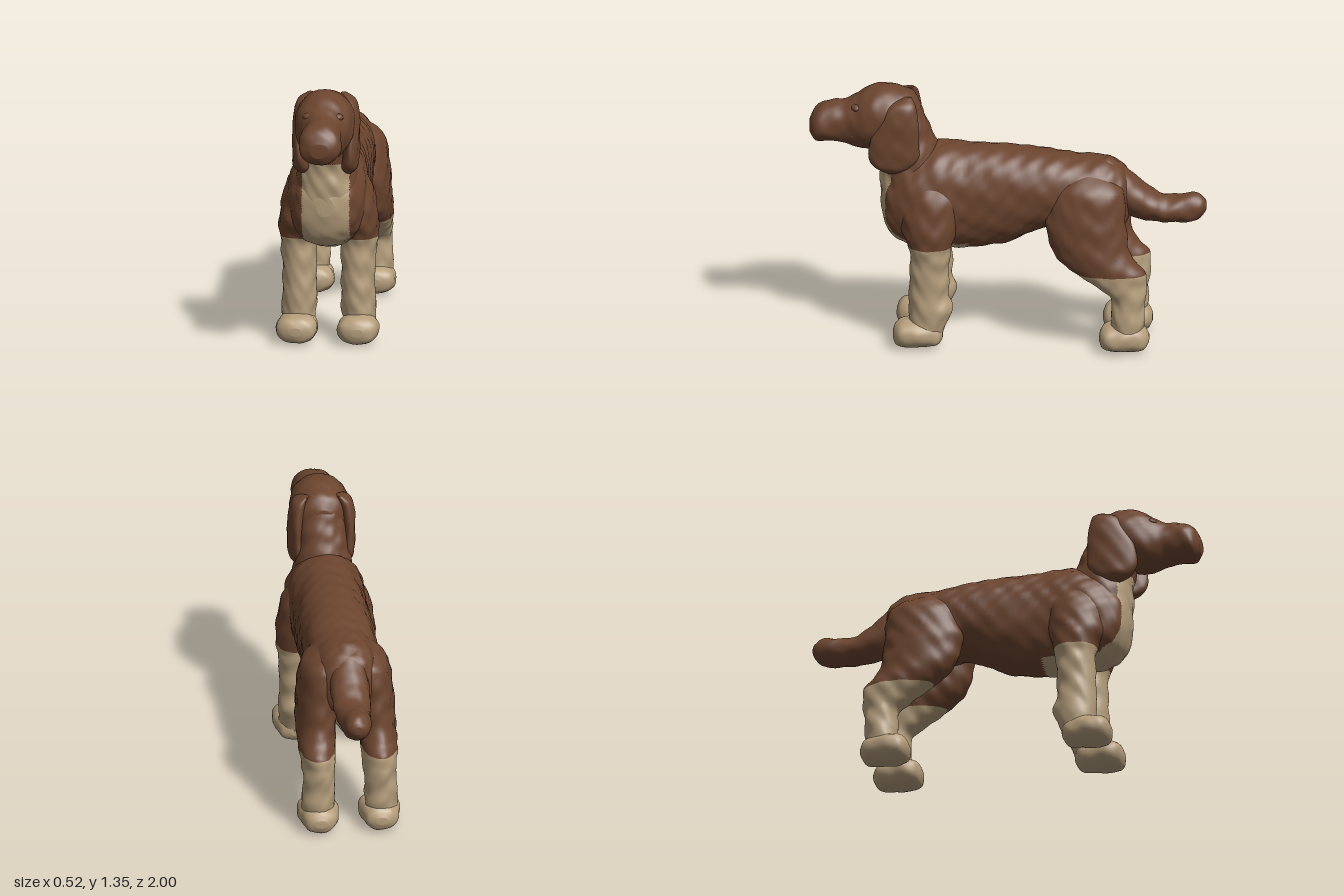
import * as THREE from 'three';

const coat = new THREE.MeshStandardMaterial({ color: 0x6c452f });
coat.name = 'brown coat';
const cream = new THREE.MeshStandardMaterial({ color: 0xb59e7c });
cream.name = 'cream fur';

const spow = (v, e) => Math.sign(v) * Math.abs(v) ** e;
const always = () => false;

// Catmull-Rom through the sections, component by component
function sampleSections(sections, t) {
  const f = t * (sections.length - 1);
  const i = Math.min(Math.floor(f), sections.length - 2);
  const u = f - i;
  const at = (k) => sections[Math.max(0, Math.min(sections.length - 1, k))];
  const [a, b, c, d] = [at(i - 1), at(i), at(i + 1), at(i + 2)];
  return b.map((_, k) => 0.5 * (2 * b[k] + (c[k] - a[k]) * u
    + (2 * a[k] - 5 * b[k] + 4 * c[k] - d[k]) * u * u
    + (3 * b[k] - a[k] - 3 * c[k] + d[k]) * u * u * u));
}

// Loft of sections [x, y, z, halfWidth, halfDepth]. axis 'z': upright rings,
// listed back to front; axis 'y': level rings, listed top to bottom.
function loft(name, axis, sections, { isCream = always, power = 1, segs = 48, rings = 48, bump = 0.004 } = {}) {
  const pos = [];
  const brownIdx = [], creamIdx = [];
  for (let i = 0; i <= rings; i++) {
    const [x, y, z, w, d] = sampleSections(sections, i / rings);
    for (let j = 0; j < segs; j++) {
      const a = (j / segs) * Math.PI * 2;
      const c = spow(Math.cos(a), power), s = spow(Math.sin(a), power);
      const px = x + Math.max(w, 0.002) * c;
      const off = Math.max(d, 0.002) * s;
      const p = axis === 'z' ? [px, y + off, z] : [px, y, z + off];
      // soft fur ripples
      const k = bump * (Math.sin(44 * p[1] + 17 * p[2]) * Math.sin(38 * p[2] - 21 * p[0])
        + 0.6 * Math.sin(71 * p[0] + 53 * p[1]) * Math.sin(66 * p[2]));
      const fade = Math.min(1, w / 0.06);
      p[0] += k * fade * c;
      p[axis === 'z' ? 1 : 2] += k * fade * s;
      pos.push(...p);
    }
  }
  const end = (rings + 1) * segs;
  pos.push(...sections[0].slice(0, 3), ...sections[sections.length - 1].slice(0, 3));
  const tri = (...t) => {
    const m = [0, 1, 2].map((k) => (pos[t[0] * 3 + k] + pos[t[1] * 3 + k] + pos[t[2] * 3 + k]) / 3);
    (isCream(...m) ? creamIdx : brownIdx).push(...t);
  };
  for (let j = 0; j < segs; j++) {
    const n = (j + 1) % segs;
    for (let i = 0; i < rings; i++) {
      const a = i * segs + j, b = i * segs + n;
      tri(a, b, a + segs);
      tri(b, b + segs, a + segs);
    }
    tri(end, n, j);
    tri(end + 1, rings * segs + j, rings * segs + n);
  }
  const geo = new THREE.BufferGeometry();
  geo.setAttribute('position', new THREE.Float32BufferAttribute(pos, 3));
  geo.setIndex([...brownIdx, ...creamIdx]);
  geo.addGroup(0, brownIdx.length, 0);
  geo.addGroup(brownIdx.length, creamIdx.length, 1);
  geo.computeVertexNormals();
  const mesh = new THREE.Mesh(geo, [coat, cream]);
  mesh.name = name;
  return mesh;
}

export function createModel() {
  const dog = new THREE.Group();
  dog.name = 'dog';
  const chestPatch = (x, y, z) =>
    (Math.abs(x) < 0.12 && z > 0.5 && y < 0.97) || (z > 0.2 && y < 0.54);

  // Torso, neck and tail
  dog.add(loft('torso', 'z', [
    [0, 0.78, -0.62, 0.05, 0.06], [0, 0.78, -0.59, 0.12, 0.15], [0, 0.79, -0.5, 0.165, 0.19],
    [0, 0.79, -0.35, 0.18, 0.2], [0, 0.815, -0.2, 0.185, 0.197], [0, 0.78, 0, 0.19, 0.25],
    [0, 0.768, 0.2, 0.19, 0.272], [0, 0.772, 0.35, 0.2, 0.272], [0, 0.75, 0.48, 0.2, 0.245],
    [0, 0.73, 0.57, 0.165, 0.185], [0, 0.735, 0.615, 0.12, 0.13], [0, 0.75, 0.64, 0.04, 0.05],
  ], { isCream: chestPatch, power: 0.9, segs: 96, rings: 100 }));
  dog.add(loft('neck', 'y', [
    [0, 1.25, 0.56, 0.11, 0.11], [0, 1.12, 0.54, 0.125, 0.15], [0, 1.0, 0.5, 0.135, 0.157],
    [0, 0.92, 0.47, 0.15, 0.175], [0, 0.8, 0.45, 0.17, 0.193], [0, 0.65, 0.45, 0.155, 0.175],
    [0, 0.55, 0.45, 0.12, 0.11],
  ], { isCream: chestPatch, power: 0.9, segs: 96, rings: 80 }));
  dog.add(loft('tail', 'z', [
    [0, 0.735, -1.0, 0.02, 0.02], [0, 0.735, -0.985, 0.045, 0.045], [0, 0.73, -0.95, 0.064, 0.07],
    [0, 0.72, -0.88, 0.076, 0.076], [0, 0.715, -0.79, 0.086, 0.068], [0, 0.745, -0.7, 0.096, 0.088],
    [0, 0.805, -0.6, 0.098, 0.118], [0, 0.88, -0.52, 0.092, 0.105], [0, 0.93, -0.47, 0.06, 0.05],
    [0, 0.94, -0.45, 0.02, 0.02],
  ]));

  // Skull and muzzle
  dog.add(loft('head', 'z', [
    [0, 1.2, 0.44, 0.04, 0.05], [0, 1.2, 0.48, 0.11, 0.11], [0, 1.19, 0.56, 0.14, 0.15],
    [0, 1.185, 0.64, 0.15, 0.163], [0, 1.17, 0.71, 0.142, 0.157], [0, 1.155, 0.77, 0.118, 0.135],
    [0, 1.15, 0.82, 0.102, 0.114], [0, 1.15, 0.88, 0.103, 0.105], [0, 1.143, 0.94, 0.107, 0.098],
    [0, 1.132, 0.975, 0.092, 0.08], [0, 1.125, 1.0, 0.045, 0.035],
  ], { power: 0.95, bump: 0.003, rings: 64 }));

  for (const side of [1, -1]) {
    const label = side > 0 ? 'left' : 'right';
    const mir = (rows) => rows.map(([x, ...rest]) => [side * x, ...rest]);

    // Brow over the eye
    const brow = new THREE.Mesh(new THREE.SphereGeometry(0.03, 20, 14), coat);
    brow.name = `${label} brow`;
    brow.position.set(side * 0.068, 1.245, 0.758);
    brow.scale.set(1.2, 0.7, 1);
    dog.add(brow);

    // Hanging ear
    dog.add(loft(`${label} ear`, 'y', mir([
      [0.085, 1.31, 0.5, 0.015, 0.02], [0.115, 1.275, 0.525, 0.035, 0.065], [0.13, 1.2, 0.54, 0.037, 0.095],
      [0.133, 1.1, 0.563, 0.036, 0.122], [0.127, 1.01, 0.57, 0.042, 0.127], [0.12, 0.95, 0.575, 0.043, 0.095],
      [0.115, 0.915, 0.575, 0.018, 0.03],
    ]), { bump: 0.003 }));

    // Front leg with shoulder
    dog.add(loft(`${label} front leg`, 'y', mir([
      [0.1, 0.93, 0.38, 0.05, 0.07], [0.12, 0.8, 0.38, 0.1, 0.145], [0.143, 0.65, 0.39, 0.105, 0.145],
      [0.152, 0.55, 0.385, 0.098, 0.112], [0.15, 0.48, 0.385, 0.09, 0.1], [0.148, 0.3, 0.39, 0.084, 0.1],
      [0.15, 0.2, 0.382, 0.088, 0.11], [0.155, 0.08, 0.4, 0.08, 0.08],
    ]), { isCream: (x, y) => y < 0.545, rings: 84 }));

    // Hind leg with thigh and hock
    dog.add(loft(`${label} hind leg`, 'y', mir([
      [0.08, 0.93, -0.4, 0.05, 0.09], [0.115, 0.85, -0.41, 0.1, 0.175], [0.138, 0.7, -0.4, 0.105, 0.2],
      [0.145, 0.6, -0.41, 0.105, 0.2], [0.153, 0.5, -0.445, 0.1, 0.19], [0.158, 0.42, -0.525, 0.092, 0.18],
      [0.155, 0.35, -0.58, 0.085, 0.13], [0.155, 0.28, -0.615, 0.08, 0.086], [0.16, 0.18, -0.612, 0.083, 0.085],
      [0.16, 0.08, -0.605, 0.08, 0.08],
    ]), { isCream: (x, y) => y < 0.42, rings: 90 }));

    // Rounded paws
    for (const [name, z] of [['front', 0.443], ['hind', -0.597]]) {
      dog.add(loft(`${label} ${name} paw`, 'z', mir([
        [0.155, 0.075, z - 0.123, 0.03, 0.02], [0.155, 0.075, z - 0.1, 0.072, 0.055],
        [0.155, 0.08, z - 0.05, 0.092, 0.072], [0.155, 0.08, z + 0.02, 0.104, 0.074],
        [0.155, 0.078, z + 0.08, 0.1, 0.07], [0.155, 0.075, z + 0.112, 0.075, 0.052],
        [0.155, 0.075, z + 0.127, 0.03, 0.02],
      ]), { isCream: () => true, power: 0.9, segs: 36, rings: 36, bump: 0.003 }));
    }
  }
  return dog;
}
